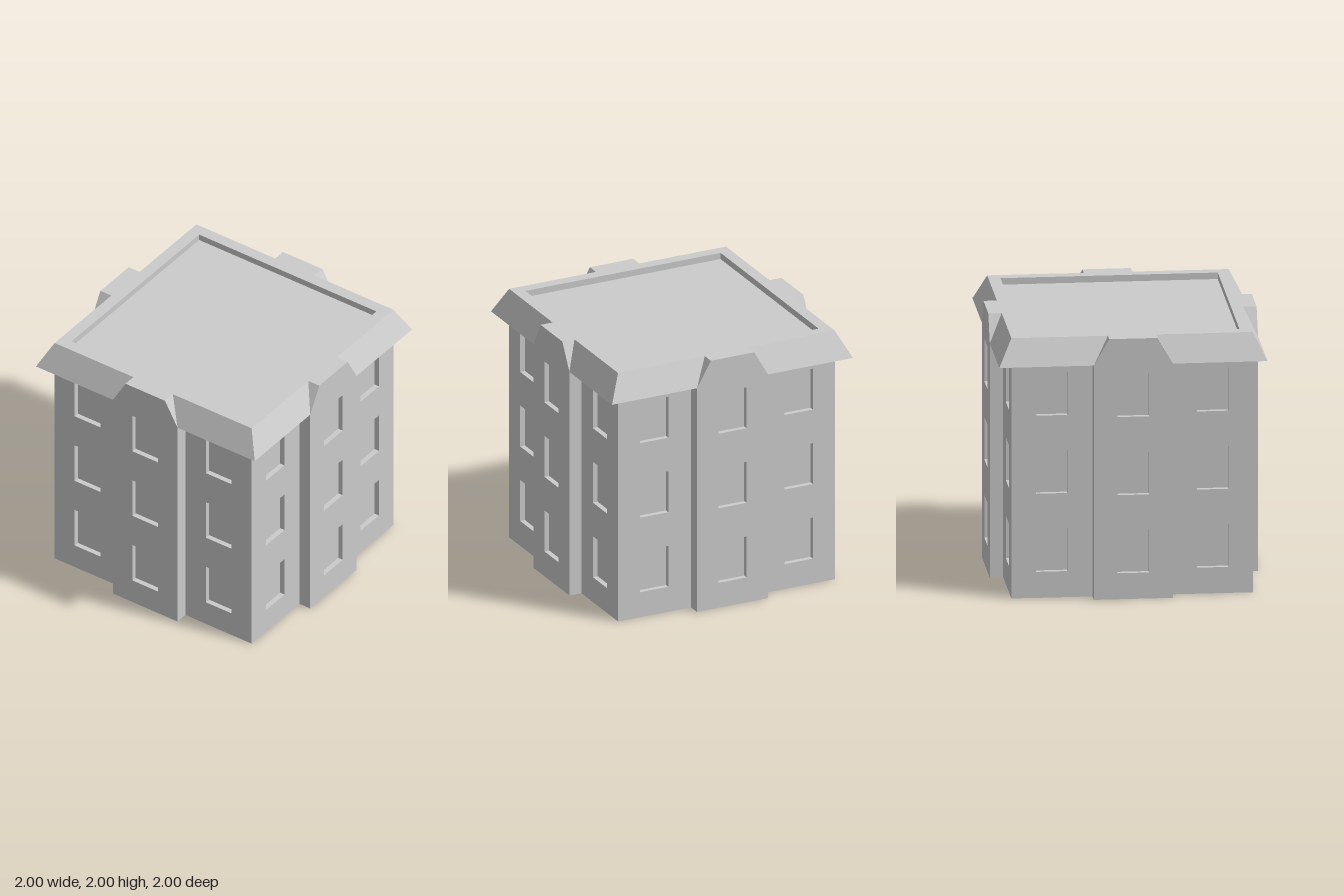
import * as THREE from 'three';

const HALF = 0.9;        // half width of the main walls
const REVEAL = 0.04;     // depth of the window recesses
const HEIGHT = 2, EAVE = 1.8, ROOF = 1.95;
const BAY = 0.295, BAY_TOP = 0.18;
const FLOORS = [0.2, 0.8, 1.4];
const WIN_W = 0.235, WIN_H = 0.33;

const material = new THREE.MeshStandardMaterial({ color: 0xcccccc, flatShading: true });

function add(parent, name, geometry) {
  const mesh = new THREE.Mesh(geometry, material);
  mesh.name = name;
  parent.add(mesh);
  return mesh;
}

const polygon = (points) => new THREE.Shape(points.map(([x, y]) => new THREE.Vector2(x, y)));

// Upright slab between two z values, with a column of windows at each given x
function slab(points, z0, z1, windowColumns = []) {
  const shape = polygon(points);
  for (const cx of windowColumns) {
    for (const y of FLOORS) {
      const l = cx - WIN_W / 2, r = cx + WIN_W / 2;
      shape.holes.push(polygon([[l, y], [l, y + WIN_H], [r, y + WIN_H], [r, y]]));
    }
  }
  return new THREE.ExtrudeGeometry(shape, { depth: z1 - z0, bevelEnabled: false }).translate(0, 0, z0);
}

// Sloping eave wrapped round one corner, ending against the two bays
function eaveGeometry() {
  // each section: outer edge, top edge, wall edge
  const end = [[BAY, EAVE, 1], [BAY_TOP, HEIGHT, HALF], [BAY, EAVE, HALF]];
  const corner = [[1, EAVE, 1], [HALF, HEIGHT, HALF], [HALF, EAVE, HALF]];
  const sections = [end, corner, end.map(([x, y, z]) => [z, y, x])];
  const positions = [];
  const quad = (a, b, c, d) => positions.push(...a, ...b, ...c, ...a, ...c, ...d);
  for (let i = 0; i < 2; i++) {
    const [outA, topA, inA] = sections[i];
    const [outB, topB, inB] = sections[i + 1];
    quad(outA, outB, topB, topA);  // roof slope
    quad(outA, inA, inB, outB);    // soffit
  }
  const g = new THREE.BufferGeometry();
  g.setAttribute('position', new THREE.Float32BufferAttribute(positions, 3));
  g.computeVertexNormals();
  return g;
}

export function createModel() {
  const building = new THREE.Group();
  building.name = 'apartmentBuilding';

  // Solid core: its sides back the windows, its top is the sunken flat roof
  const inner = HALF - REVEAL;
  add(building, 'core', new THREE.BoxGeometry(inner * 2, ROOF, inner * 2).translate(0, ROOF / 2, 0));

  // Parapet ring round the flat roof
  const square = (h) => polygon([[-h, -h], [h, -h], [h, h], [-h, h]]);
  const ring = square(inner);
  ring.holes.push(square(0.81));
  add(building, 'parapet', new THREE.ExtrudeGeometry(ring, { depth: HEIGHT - ROOF, bevelEnabled: false })
    .rotateX(-Math.PI / 2).translate(0, ROOF, 0));

  // Walls interlock at the corners: each stops where its neighbour begins
  const wallOutline = [[-HALF, 0], [inner, 0], [inner, HEIGHT], [-HALF, HEIGHT]];
  const bayOutline = [[-BAY, 0], [BAY, 0], [BAY, EAVE], [BAY_TOP, HEIGHT], [-BAY_TOP, HEIGHT], [-BAY, EAVE]];
  const wall = slab(wallOutline, inner, HALF, [-0.6, 0.6]);
  const bayBack = slab(bayOutline, HALF, 1 - REVEAL);
  const bayFront = slab(bayOutline, 1 - REVEAL, 1, [0]);
  const eave = eaveGeometry();

  // Four identical sides
  ['front', 'left', 'back', 'right'].forEach((name, i) => {
    const side = new THREE.Group();
    side.name = name + 'Side';
    side.rotation.y = i * Math.PI / 2;
    add(side, 'wall', wall);
    add(side, 'bayBack', bayBack);
    add(side, 'bayFront', bayFront);
    add(side, 'cornerEave', eave);
    building.add(side);
  });

  return building;
}
